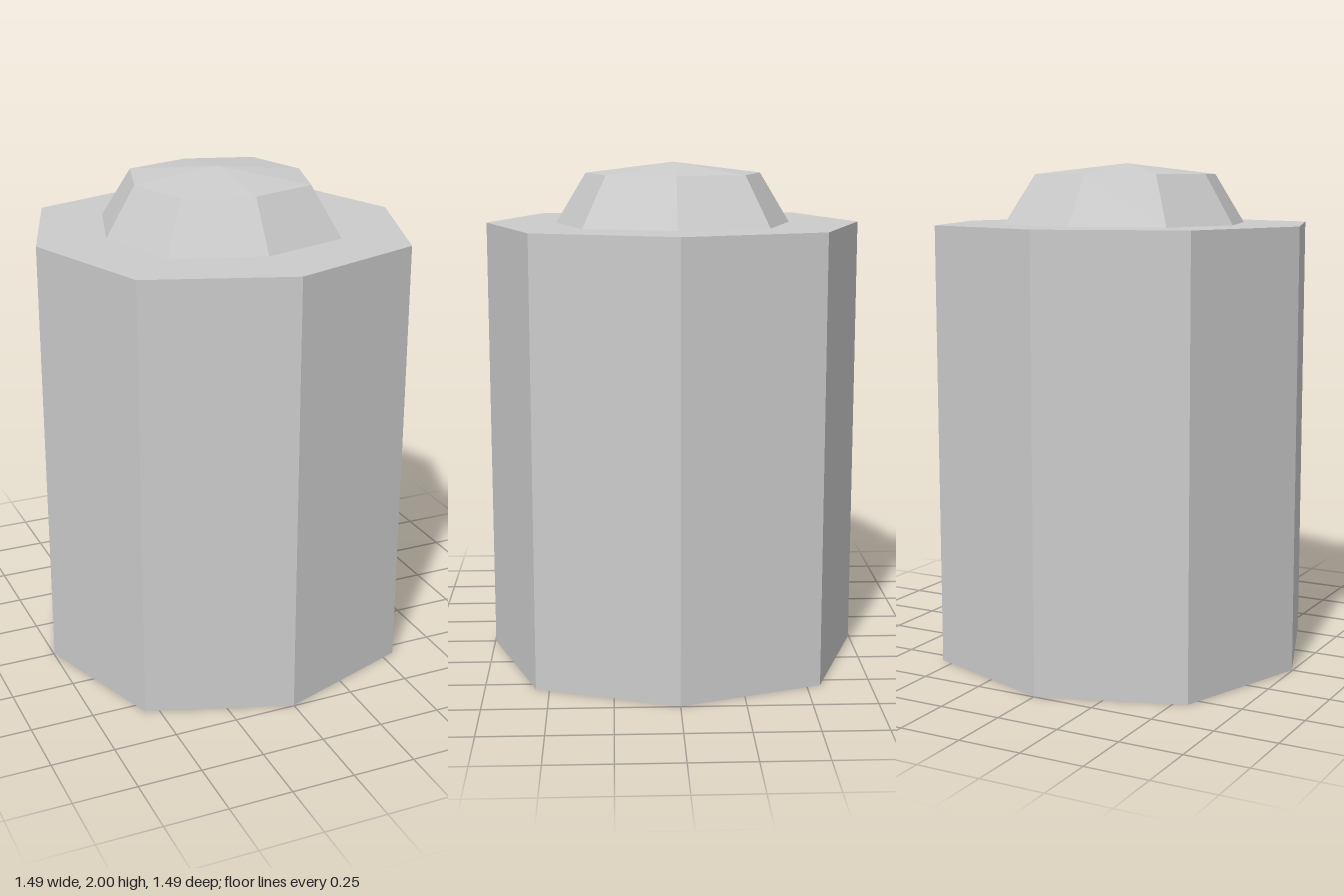
import * as THREE from 'three';
import { mergeVertices } from 'three/addons/utils/BufferGeometryUtils.js';

const SIDES = 8;

// Eight-sided turned shape. Each profile entry is [radius on the axes, x = z on the diagonals, y], bottom to top.
function octagonalLathe(name, profile, material) {
  const lathe = new THREE.LatheGeometry(profile.map(([r, , y]) => new THREE.Vector2(r, y)), SIDES);
  const pos = lathe.attributes.position;
  for (let i = 0; i < pos.count; i++) {
    const side = Math.floor(i / profile.length);
    const [, d, y] = profile[i % profile.length];
    if (side % 2) pos.setXYZ(i, Math.sign(pos.getX(i)) * d, y, Math.sign(pos.getZ(i)) * d);
  }
  lathe.deleteAttribute('uv');
  lathe.deleteAttribute('normal');
  const geometry = mergeVertices(lathe, 1e-5).toNonIndexed();
  geometry.computeVertexNormals();
  const mesh = new THREE.Mesh(geometry, material);
  mesh.name = name;
  return mesh;
}

export function createModel() {
  const group = new THREE.Group();
  group.name = 'octagonalCanister';
  const grey = new THREE.MeshStandardMaterial({ color: 0xcccccc, flatShading: true });

  const shoulderY = 1.76;
  const capFoot = [0.468, 0.358, shoulderY];

  // Body: hollowed underside, straight walls, flat shoulder up to the cap
  group.add(octagonalLathe('body', [
    [0, 0, 0.115],
    [0.747, 0.553, 0],
    [0.747, 0.553, shoulderY],
    capFoot,
  ], grey));

  // Cap: sloped sides and a shallow pointed top
  group.add(octagonalLathe('cap', [
    capFoot,
    [0.349, 0.268, 1.957],
    [0, 0, 2],
  ], grey));

  return group;
}
